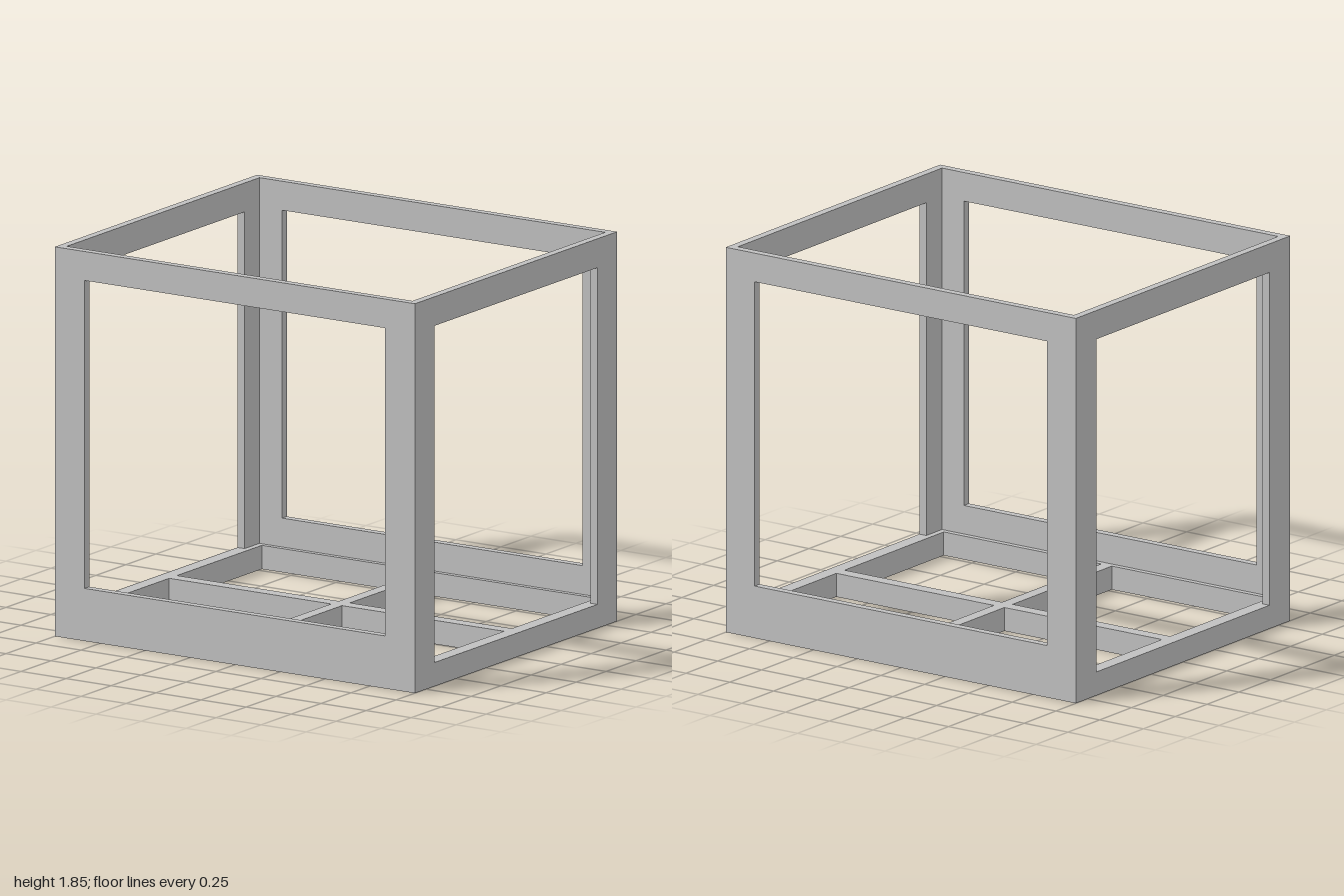
import * as THREE from 'three';

const W = 1, D = 0.843, H = 1.853, T = 0.04; // half width, half depth, height, wall thickness

function rect(Type, x0, y0, x1, y1) {
  const r = new Type();
  r.moveTo(x0, y0);
  r.lineTo(x1, y0);
  r.lineTo(x1, y1);
  r.lineTo(x0, y1);
  r.closePath();
  return r;
}

// Flat plate in XY with rectangular openings, extruded along +z
function plate(outline, openings, depth) {
  const shape = rect(THREE.Shape, ...outline);
  for (const o of openings) shape.holes.push(rect(THREE.Path, ...o));
  return new THREE.ExtrudeGeometry(shape, { depth, bevelEnabled: false });
}

export function createModel() {
  const group = new THREE.Group();
  const grey = new THREE.MeshStandardMaterial({ color: 0xc0c0c0 });
  grey.name = 'lightGrey';

  const add = (name, geometry) => {
    const mesh = new THREE.Mesh(geometry, grey);
    mesh.name = name;
    group.add(mesh);
  };

  // Front and back frames, with a tall bottom rail
  for (const [name, z] of [['frontFrame', D - T], ['backFrame', -D]]) {
    const g = plate([-W, 0, W, H], [[-0.835, 0.25, 0.835, 1.715]], T);
    add(name, g.translate(0, 0, z));
  }

  // Side frames fitted between front and back
  const inner = D - T;
  for (const [name, x] of [['leftFrame', W - T], ['rightFrame', -W]]) {
    const g = plate([-inner, 0, inner, H], [[-0.68, 0.113, 0.68, 1.715]], T);
    add(name, g.rotateY(Math.PI / 2).translate(x, 0, 0));
  }

  // Base frame: inner ledge and crossing bars, the depthwise split set slightly back
  const openings = [];
  for (const [x0, x1] of [[-0.93, -0.03], [0.03, 0.93]]) {
    for (const [y0, y1] of [[-0.775, 0.005], [0.07, 0.777]]) openings.push([x0, y0, x1, y1]);
  }
  const base = plate([-W + T, -inner, W - T, inner], openings, 0.113);
  add('baseGrid', base.rotateX(-Math.PI / 2));

  return group;
}
